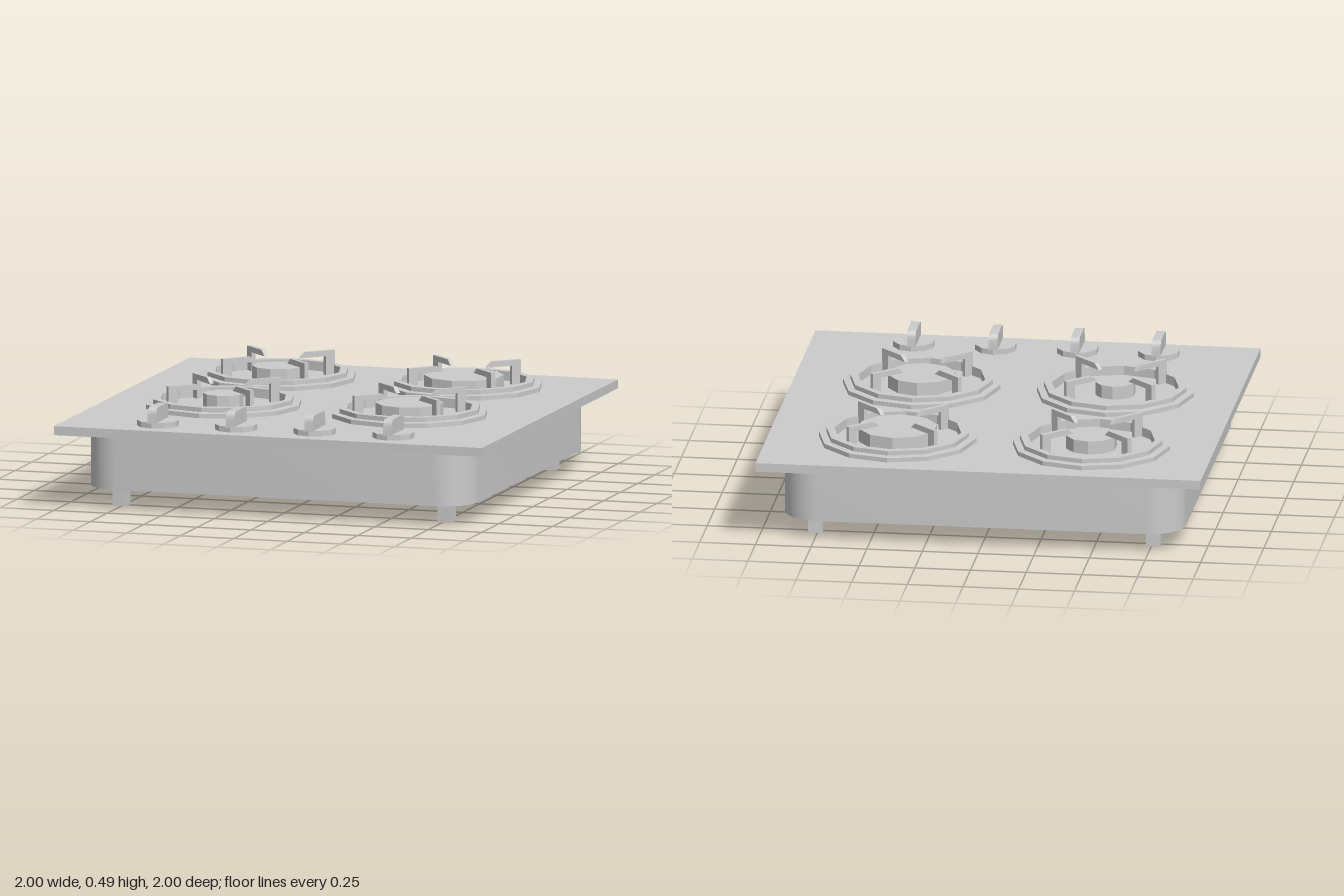
import * as THREE from 'three';
import { toCreasedNormals } from 'three/addons/utils/BufferGeometryUtils.js';

const flat = new THREE.MeshStandardMaterial({ color: 0xcccccc, flatShading: true });
const smooth = new THREE.MeshStandardMaterial({ color: 0xcccccc });

function add(parent, name, geometry, x = 0, y = 0, z = 0, material = flat) {
  const mesh = new THREE.Mesh(geometry, material);
  mesh.name = name;
  mesh.position.set(x, y, z);
  parent.add(mesh);
  return mesh;
}

// Rectangle with rounded corners, centred on the origin
function roundedRect(w, h, r) {
  const s = new THREE.Shape();
  s.absarc(w / 2 - r, h / 2 - r, r, 0, Math.PI / 2);
  s.absarc(-w / 2 + r, h / 2 - r, r, Math.PI / 2, Math.PI);
  s.absarc(-w / 2 + r, -h / 2 + r, r, Math.PI, Math.PI * 1.5);
  s.absarc(w / 2 - r, -h / 2 + r, r, Math.PI * 1.5, Math.PI * 2);
  s.closePath();
  return s;
}

const points = (list) => list.map(([x, y]) => new THREE.Vector2(x, y));

// Shape extruded evenly to both sides of its plane
function slab(shape, depth, curveSegments = 6) {
  return new THREE.ExtrudeGeometry(shape, { depth, bevelEnabled: false, curveSegments })
    .translate(0, 0, -depth / 2);
}

// Stepped drip ring, cap and four pan supports
function createBurner(x, z, capRadius) {
  const burner = new THREE.Group();
  burner.name = 'burner';
  burner.position.set(x, 0.38, z);

  const ring = points([
    [0.353, 0], [0.353, 0.02], [0.32, 0.022], [0.32, 0.042], [0.285, 0.042], [0.285, 0],
  ]);
  add(burner, 'burnerRing', new THREE.LatheGeometry(ring, 12));
  add(burner, 'burnerCap', new THREE.CylinderGeometry(capRadius, capRadius, 0.06, 10), 0, 0.03, 0);

  const arm = slab(new THREE.Shape(points([
    [0.28, 0], [0.28, 0.11], [0.14, 0.11], [0.11, 0.085], [0.235, 0.085], [0.235, 0],
  ])), 0.02);
  for (let i = 0; i < 4; i++) {
    add(burner, 'panSupport', arm).rotation.y = Math.PI / 4 + i * Math.PI / 2;
  }
  return burner;
}

// Round base with an upright grip
function createKnob(x) {
  const knob = new THREE.Group();
  knob.name = 'knob';
  knob.position.set(x, 0.38, 0.835);
  add(knob, 'knobBase', new THREE.CylinderGeometry(0.094, 0.094, 0.025, 10), 0, 0.0125, 0);

  const s = new THREE.Shape();
  s.moveTo(-0.092, 0.02);
  s.lineTo(0.092, 0.02);
  s.lineTo(0.09, 0.06);
  s.quadraticCurveTo(0.087, 0.092, 0.06, 0.092);
  s.lineTo(-0.06, 0.092);
  s.quadraticCurveTo(-0.087, 0.092, -0.09, 0.06);
  s.closePath();
  const grip = toCreasedNormals(slab(s, 0.04).rotateY(Math.PI / 2), 0.6);
  add(knob, 'knobGrip', grip, 0, 0, 0, smooth);
  return knob;
}

export function createModel() {
  const model = new THREE.Group();
  model.name = 'cooktop';

  // Top plate and sunken housing
  add(model, 'topPlate', new THREE.BoxGeometry(2, 0.04, 2), 0, 0.36, 0);
  const housing = slab(roundedRect(1.8, 1.8, 0.16), 0.25).rotateX(-Math.PI / 2);
  add(model, 'housing', toCreasedNormals(housing, 0.6), 0, 0.215, 0, smooth);

  // Feet
  for (const x of [-0.76, 0.76]) {
    for (const z of [-0.76, 0.76]) {
      add(model, 'foot', new THREE.BoxGeometry(0.065, 0.1, 0.065), x, 0.05, z);
    }
  }

  // Burners, each with its own cap size
  for (const [x, z, cap] of [
    [-0.45, -0.56, 0.115], [0.42, -0.56, 0.178], [-0.45, 0.24, 0.09], [0.42, 0.24, 0.152],
  ]) model.add(createBurner(x, z, cap));

  // Control knobs along the front
  for (const x of [-0.565, -0.2, 0.167, 0.535]) model.add(createKnob(x));

  return model;
}
